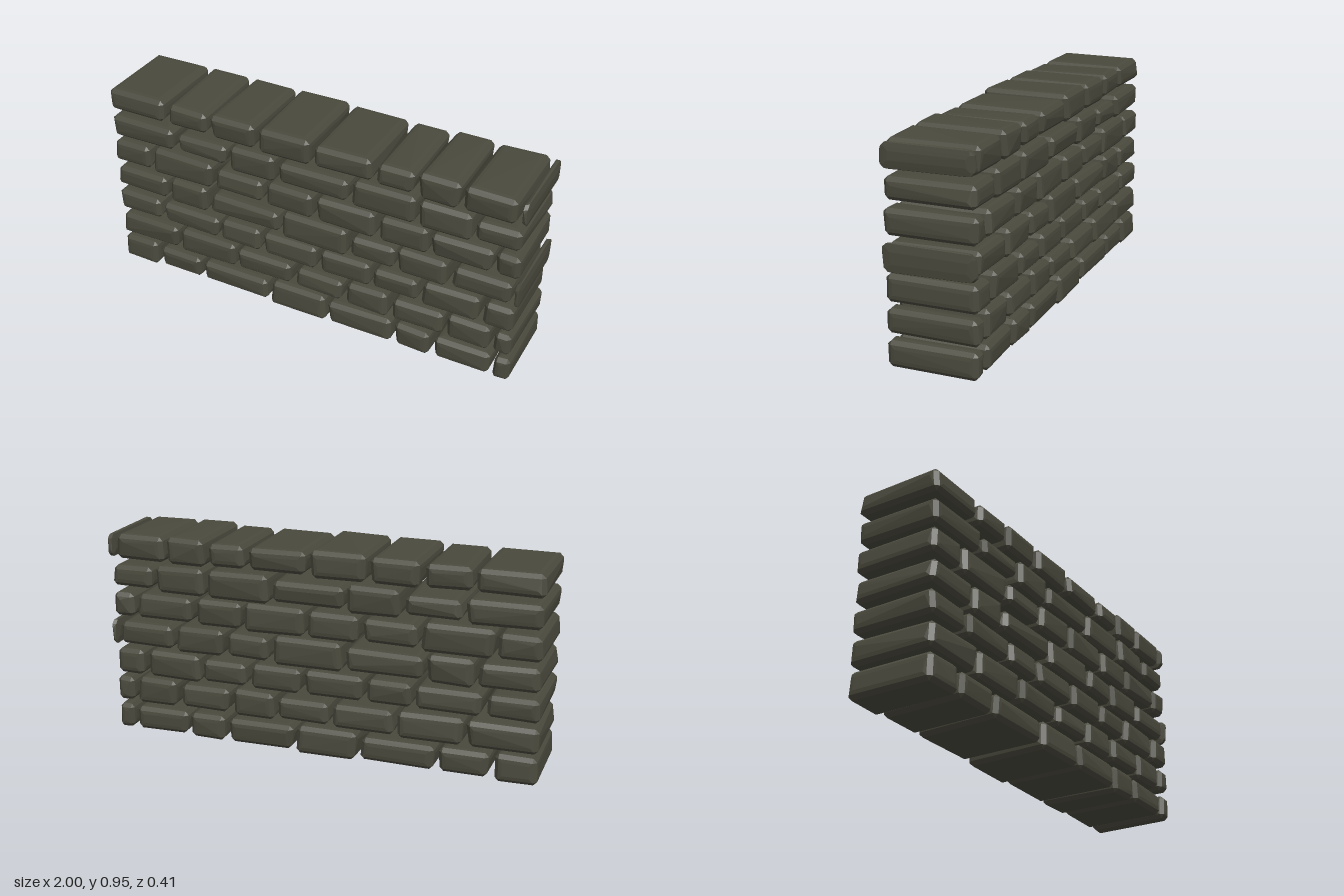
import * as THREE from 'three';
import { ConvexGeometry } from 'three/addons/geometries/ConvexGeometry.js';

// Courses from the bottom up: centre height, then each brick's [right edge, height]
const COURSES = [
  [0.075, [[-0.80, 0.135], [-0.56, 0.12], [-0.20, 0.115], [0.10, 0.138], [0.43, 0.125], [0.62, 0.13], [0.90, 0.12], [0.99, 0.125]]],
  [0.213, [[-0.68, 0.125], [-0.37, 0.132], [-0.07, 0.115], [0.19, 0.11], [0.41, 0.132], [0.67, 0.115], [0.89, 0.132], [0.99, 0.12]]],
  [0.350, [[-0.76, 0.11], [-0.45, 0.11], [-0.23, 0.12], [0.06, 0.12], [0.32, 0.125], [0.55, 0.11], [0.83, 0.135], [0.99, 0.13]]],
  [0.485, [[-0.72, 0.115], [-0.50, 0.135], [-0.13, 0.11], [0.21, 0.142], [0.43, 0.115], [0.68, 0.13], [0.965, 0.115], [1.0, 0.125]]],
  [0.624, [[-0.80, 0.12], [-0.47, 0.135], [-0.21, 0.11], [0.04, 0.13], [0.34, 0.135], [0.58, 0.13], [0.87, 0.12], [0.99, 0.12]]],
  [0.758, [[-0.66, 0.115], [-0.39, 0.095], [-0.14, 0.135], [0.21, 0.11], [0.52, 0.14], [0.77, 0.135], [0.99, 0.105]]],
  [0.895, [[-0.70, 0.11], [-0.48, 0.11], [-0.24, 0.125], [0.03, 0.132], [0.32, 0.11], [0.51, 0.11], [0.71, 0.132], [0.96, 0.125], [1.0, 0.11]]],
];
const GAP = 0.007;
const HALF_DEPTH = 0.205;

// Small seeded generator for the uneven stone corners
let seed = 7;
function random() {
  seed = (seed * 16807) % 2147483647;
  return seed / 2147483647;
}

// Chamfered block with slightly raised faces and uneven corners
function brickGeometry(w, h, d) {
  const half = [w / 2, h / 2, d / 2];
  const inset = half.map((s) => Math.min(0.02, s * 0.4));
  const wobble = [Math.min(0.012, w * 0.08), 0.005, 0.009];
  const points = [];
  for (const sx of [-1, 1]) for (const sy of [-1, 1]) for (const sz of [-1, 1]) {
    const sign = [sx, sy, sz];
    const corner = half.map((s, i) => s - random() * wobble[i]);
    for (let axis = 0; axis < 3; axis++) {
      for (const [step, sink] of [[1, 0.003], [1.8, 0]]) {
        const p = corner.map((s, i) => sign[i] * (i === axis ? s - sink : s - inset[i] * step));
        points.push(new THREE.Vector3(...p));
      }
    }
  }
  return new ConvexGeometry(points);
}

export function createModel() {
  const model = new THREE.Group();
  model.name = 'brickWall';
  const stone = new THREE.MeshStandardMaterial({ color: 0x4a493d });
  stone.name = 'darkStone';

  COURSES.forEach(([y, bricks], row) => {
    const course = new THREE.Group();
    course.name = `course${row + 1}`;
    let left = -1;
    for (const [right, height] of bricks) {
      const brick = new THREE.Mesh(brickGeometry(right - left, height, HALF_DEPTH * 2), stone);
      brick.name = 'brick';
      brick.position.set((left + right) / 2, y, 0);
      course.add(brick);
      left = right + GAP;
    }
    model.add(course);
  });
  return model;
}
